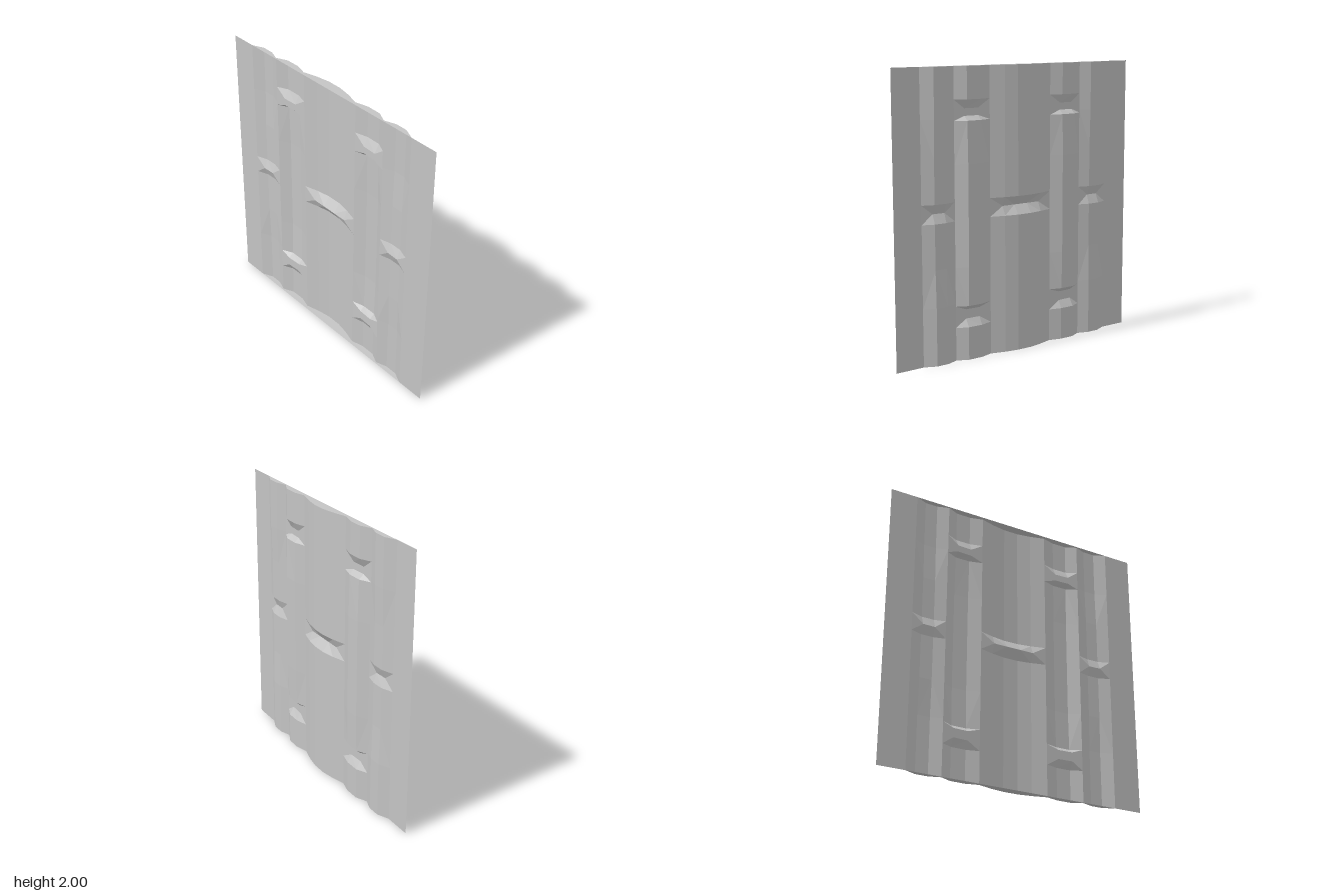
import * as THREE from 'three';

const FRONT = 0.035, HEIGHT = 2, X0 = -0.007;

// Cross-sections as [distance from the middle, z]; first and last are the rims
const sideProfile = [[0.54, 0.025], [0.622, -0.003], [0.712, -0.003], [0.796, FRONT]];
const innerProfile = [[0.26, 0.011], [0.352, -0.021], [0.46, -0.021], [0.54, 0.025]];
const middleProfile = [[-0.26, 0.011], [-0.155, -0.018], [-0.055, -0.035],
  [0.055, -0.035], [0.155, -0.018], [0.26, 0.011]];

// Rows as [y, depth], where depth 0 is a fold filled level with the rims
const sideRows = [[0, 1], [0.4, 1], [0.66, 0.78], [0.97, 0.78], [1.035, 0],
  [1.1, 0.78], [1.4, 0.78], [1.66, 1], [2, 1]];
const innerRows = [[0, 0.8], [0.23, 0.8], [0.285, 0], [0.35, 0], [0.38, 0.85], [0.65, 1],
  [1.35, 1], [1.64, 0.85], [1.67, 0], [1.72, 0], [1.78, 0.8], [2, 0.8]];
const middleRows = [[0, 1], [0.97, 1], [1.035, 0], [1.1, 1], [2, 1]];

export function createModel() {
  const group = new THREE.Group();
  const grey = new THREE.MeshStandardMaterial({ color: 0xc4c4c4, flatShading: true, side: THREE.DoubleSide });
  grey.name = 'plain grey';

  function addMesh(name, triangles) {
    const geometry = new THREE.BufferGeometry();
    geometry.setAttribute('position', new THREE.Float32BufferAttribute(triangles.flat(2), 3));
    geometry.computeVertexNormals();
    const mesh = new THREE.Mesh(geometry, grey);
    mesh.name = name;
    group.add(mesh);
  }

  // A grooved strip of sheet, closed at its top and bottom ends
  function addChannel(name, profile, rows) {
    const n = profile.length - 1;
    const [xa, za] = profile[0], [xb, zb] = profile[n];
    const grid = rows.map(([y, depth]) => profile.map(([x, z]) => {
      const level = za + (zb - za) * (x - xa) / (xb - xa);
      return [x + X0, y, level + (z - level) * depth];
    }));
    const triangles = [];
    for (let i = 0; i < rows.length - 1; i++) {
      const deepBelow = rows[i][1] > rows[i + 1][1];
      for (let j = 0; j < n; j++) {
        const a = grid[i][j], b = grid[i][j + 1], c = grid[i + 1][j + 1], d = grid[i + 1][j];
        // the diagonal leaves the rim on the deeper row, so folds narrow inward
        if (deepBelow === (j < n / 2)) triangles.push([a, b, c], [a, c, d]);
        else triangles.push([a, b, d], [b, c, d]);
      }
    }
    addMesh(name, triangles);

    // End caps reach forward to the front plane
    const caps = [];
    for (const [row, up] of [[grid[0], false], [grid[grid.length - 1], true]]) {
      for (let j = 0; j < n; j++) {
        const a = row[j], b = row[j + 1];
        const c = [b[0], b[1], FRONT], d = [a[0], a[1], FRONT];
        if (up) caps.push([a, d, c], [a, c, b]);
        else caps.push([a, c, d], [a, b, c]);
      }
    }
    addMesh(name + 'Caps', caps);
  }

  const mirror = (profile) => profile.map(([x, z]) => [-x, z]).reverse();

  addChannel('middleChannel', middleProfile, middleRows);
  addChannel('leftInnerChannel', innerProfile, innerRows);
  addChannel('rightInnerChannel', mirror(innerProfile), innerRows);
  addChannel('leftSideChannel', sideProfile, sideRows);
  addChannel('rightSideChannel', mirror(sideProfile), sideRows);

  // Flat borders
  const rim = 0.796;
  for (const [name, from, to] of [['leftBorder', rim + X0, 1], ['rightBorder', -1, -rim + X0]]) {
    const border = new THREE.Mesh(new THREE.PlaneGeometry(to - from, HEIGHT), grey);
    border.position.set((from + to) / 2, HEIGHT / 2, FRONT);
    border.name = name;
    group.add(border);
  }
  return group;
}
